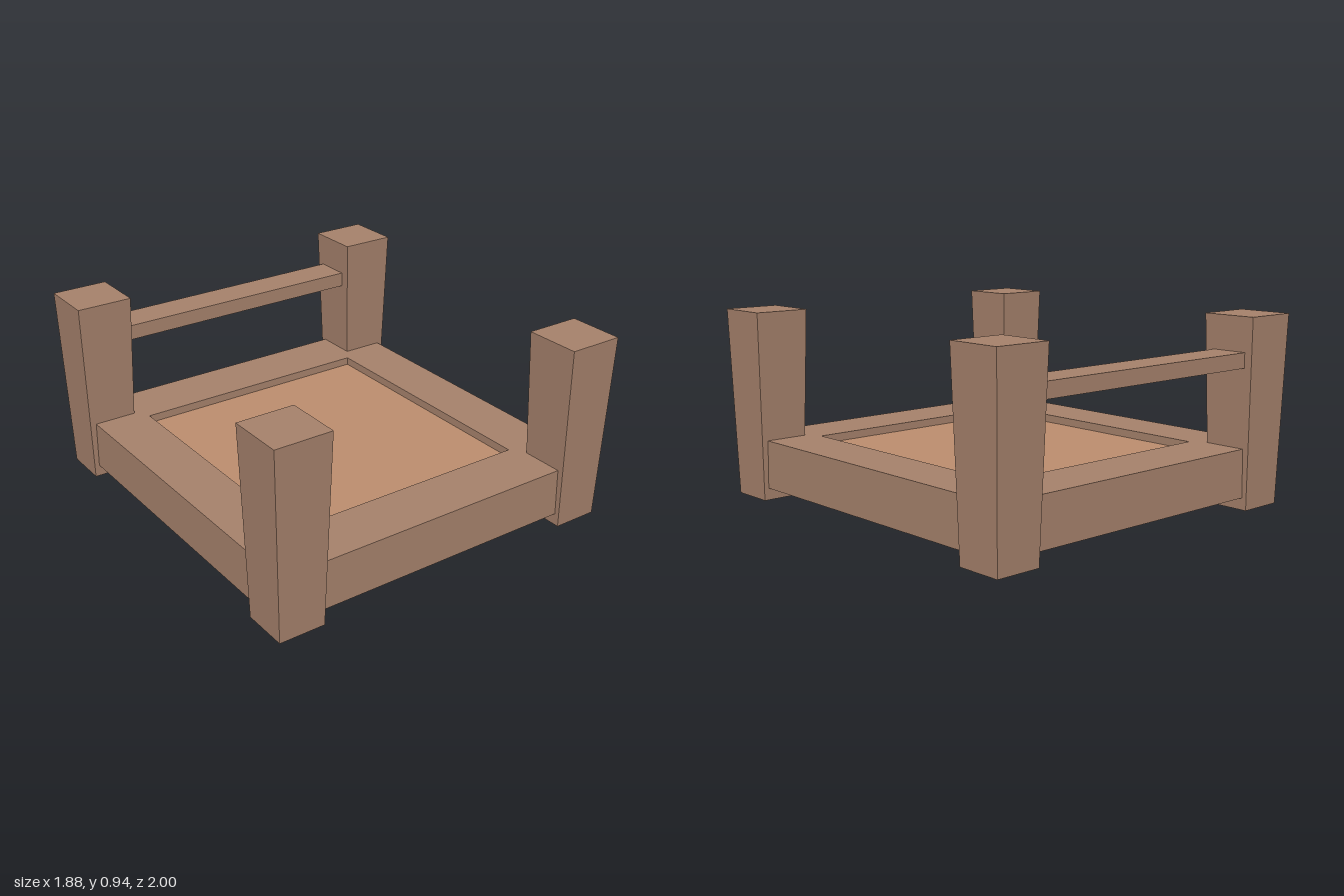
import * as THREE from 'three';

const wood = new THREE.MeshStandardMaterial({ color: 0xa5816b, flatShading: true });
const lightWood = new THREE.MeshStandardMaterial({ color: 0xbc8d6e, flatShading: true });

function add(parent, name, geometry, material, x, y, z) {
  const mesh = new THREE.Mesh(geometry, material);
  mesh.name = name;
  mesh.position.set(x, y, z);
  parent.add(mesh);
}

// Square post, wider at the top than at the foot
function postGeometry(top, foot, height) {
  const geometry = new THREE.CylinderGeometry(top / Math.SQRT2, foot / Math.SQRT2, height, 4);
  return geometry.rotateY(Math.PI / 4);
}

function rectangle(PathType, halfX, halfZ) {
  return new PathType([
    new THREE.Vector2(-halfX, -halfZ), new THREE.Vector2(halfX, -halfZ),
    new THREE.Vector2(halfX, halfZ), new THREE.Vector2(-halfX, halfZ),
  ]);
}

export function createModel() {
  const model = new THREE.Group();
  model.name = 'lowBedFrame';

  // Four tapered corner posts
  const post = postGeometry(0.28, 0.23, 0.935);
  for (const [end, sz] of [['front', 1], ['back', -1]]) {
    for (const [side, sx] of [['Left', 1], ['Right', -1]]) {
      add(model, `${end}${side}Post`, post, wood, sx * 0.8, 0.4675, sz * 0.86);
    }
  }

  // Rectangular frame with an open middle
  const outline = rectangle(THREE.Shape, 0.892, 0.952);
  outline.holes.push(rectangle(THREE.Path, 0.627, 0.665));
  const frame = new THREE.ExtrudeGeometry(outline, { depth: 0.24, bevelEnabled: false });
  frame.rotateX(-Math.PI / 2);
  add(model, 'frame', frame, wood, 0, 0.06, 0);

  // Panel set into the frame, recessed above and below
  add(model, 'panel', new THREE.BoxGeometry(1.254, 0.16, 1.33), lightWood, 0, 0.18, 0);

  // Rail between the back posts
  add(model, 'backRail', new THREE.BoxGeometry(1.4, 0.075, 0.18), wood, 0, 0.7275, -0.865);

  return model;
}
